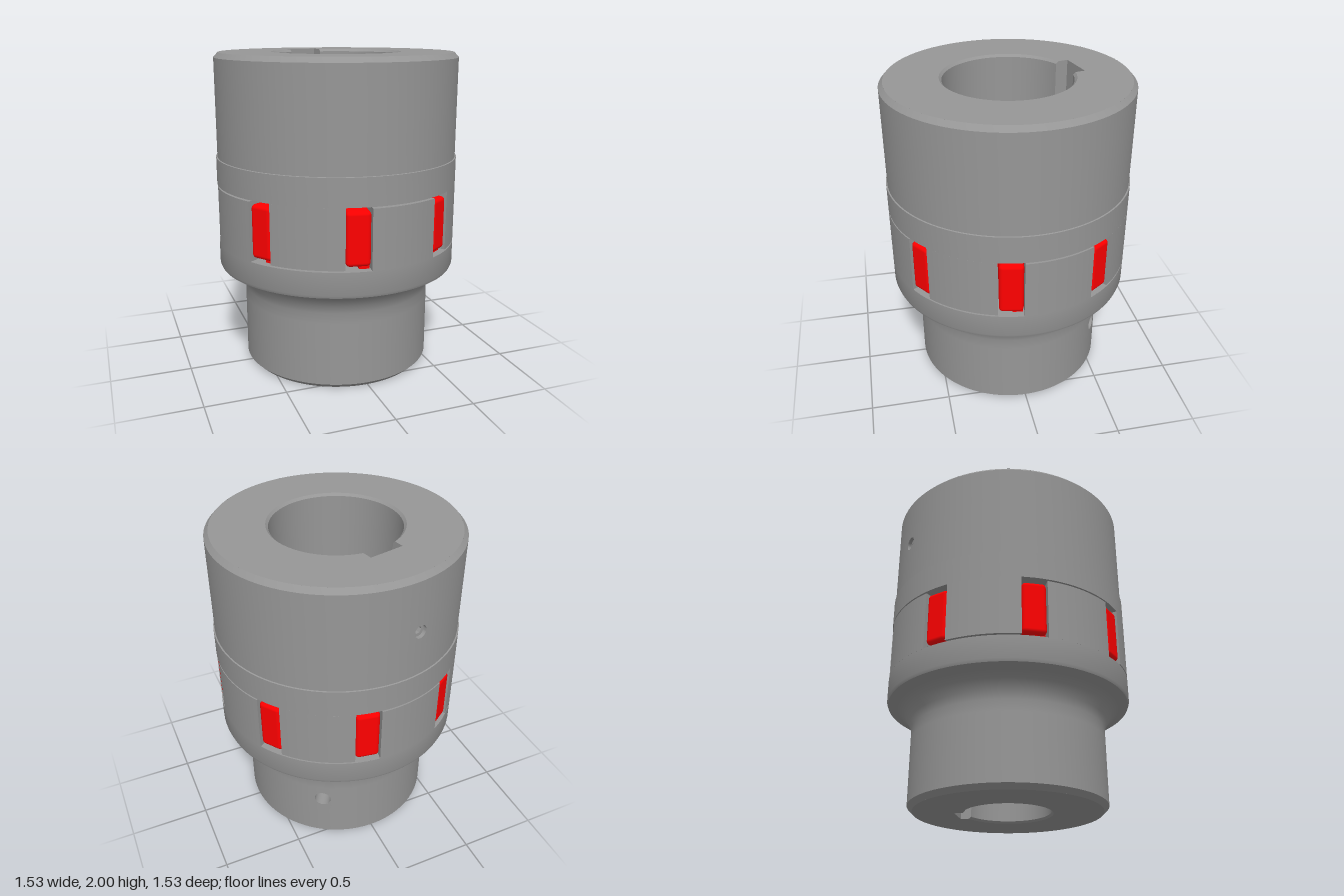
import * as THREE from 'three';
import { mergeGeometries, toCreasedNormals } from 'three/addons/utils/BufferGeometryUtils.js';
import { ParametricGeometry } from 'three/addons/geometries/ParametricGeometry.js';
import { RoundedBoxGeometry } from 'three/addons/geometries/RoundedBoxGeometry.js';

const steel = new THREE.MeshStandardMaterial({ color: 0x969696, side: THREE.DoubleSide });
const red = new THREE.MeshStandardMaterial({ color: 0xff0000, side: THREE.DoubleSide });
const deg = Math.PI / 180, TAU = Math.PI * 2;
const JAW_R = 0.765, JAW_IN = 0.47, LOW = 0.815, HIGH = 1.19;

function mesh(name, geometry, material = steel) {
  const m = new THREE.Mesh(geometry, material);
  m.name = name;
  return m;
}

const surf = (nu, nv, fn) => new ParametricGeometry((u, v, p) => p.set(...fn(u, v)), nu, nv);

// merge pieces into one surface, smooth except at sharp edges
function weld(parts) {
  const clean = parts.map(g => {
    const c = g.index ? g.toNonIndexed() : g;
    c.deleteAttribute('uv');
    return c;
  });
  return toCreasedNormals(mergeGeometries(clean), 0.45);
}

const lathe = (pts, segments = 96, start = 0, length = TAU) =>
  new THREE.LatheGeometry(pts.map(p => new THREE.Vector2(...p)), segments, start, length);

// rectangle [x0,x1] x [y0,y1] with a round hole at the origin, laid on a surface by map(x, y)
function holedPatch(x0, x1, y0, y1, r, map) {
  const corners = [[x1, y0], [x1, y1], [x0, y1], [x0, y0], [x1, y0]];
  return surf(40, 4, (u, v) => {
    const side = Math.min(3, Math.floor(u * 4 + 1e-6)), t = u * 4 - side;
    const [ax, ay] = corners[side], [bx, by] = corners[side + 1];
    const a = (u * 4 - 0.5) * Math.PI / 2;
    const x = ax + (bx - ax) * t, y = ay + (by - ay) * t;
    return map(x + (r * Math.cos(a) - x) * v, y + (r * Math.sin(a) - y) * v);
  });
}

// flat annular end face with the bore and keyway cut out
function endFace(outer, y, bore, { keyHalf, keyDepth }) {
  const shape = new THREE.Shape().absarc(0, 0, outer, 0, TAU);
  const hole = [new THREE.Vector2(-keyHalf, keyDepth), new THREE.Vector2(keyHalf, keyDepth)];
  const a = Math.asin(keyHalf / bore);
  for (let i = 0; i <= 96; i++) {
    const t = a + (TAU - 2 * a) * i / 96;
    hole.push(new THREE.Vector2(bore * Math.sin(t), bore * Math.cos(t)));
  }
  shape.holes.push(new THREE.Path(hole));
  return new THREE.ShapeGeometry(shape, 48).rotateX(Math.PI / 2).translate(0, y, 0);
}

// jaw block whose flanks run parallel to the neighbouring spider teeth
function jawGeometry(y0, y1) {
  const half = r => 22.5 * deg - Math.asin(0.077 / r);
  const shape = new THREE.Shape();
  shape.absarc(0, 0, JAW_R, -half(JAW_R), half(JAW_R), false);
  shape.absarc(0, 0, JAW_IN, half(JAW_IN), -half(JAW_IN), true);
  const g = new THREE.ExtrudeGeometry(shape, { depth: y1 - y0, bevelEnabled: false, curveSegments: 16 });
  return toCreasedNormals(g.rotateX(-Math.PI / 2).translate(0, y0, 0), 0.45);
}

// hub with its keyway facing local +z; below and above are the profile on either side of the screw hole
function makeHub(name, o) {
  const g = new THREE.Group();
  g.name = name;
  const { below, above, boreProfile, keyHalf, keyDepth, holeY, holeR } = o;
  const [R, b0] = below[below.length - 1], b1 = above[0][1];
  const y0 = below[0][1], y1 = above[above.length - 1][1];
  const px = 0.1, gap = px / R, rest = TAU - 2 * gap;
  const skin = (x, y) => [R * Math.sin(x / R), y + holeY, R * Math.cos(x / R)];
  const keyFloor = (x, y) => [x, y + holeY, keyDepth];

  const shell = [
    lathe([[R, b0], [R, b1]], 96, gap, rest),
    holedPatch(-px, px, b0 - holeY, b1 - holeY, holeR, skin),
  ];
  for (const pts of [below, above]) {
    shell.push(lathe(pts, 96, gap, rest), lathe(pts, 10, -gap, 2 * gap));
  }
  g.add(mesh('hubShell', weld(shell)));
  g.add(mesh('screwHole', weld([surf(32, 1, (u, v) => {
    const x = holeR * Math.cos(u * TAU), y = holeR * Math.sin(u * TAU);
    return v < 0.5 ? skin(x, y) : keyFloor(x, y);
  })])));

  // bore with a chamfered mouth, open along the keyway
  const rows = boreProfile.length - 1;
  g.add(mesh('bore', weld([surf(96, rows, (u, v) => {
    const [r, y] = boreProfile[Math.round(v * rows)];
    const a = Math.asin(keyHalf / r), t = a + (TAU - 2 * a) * u;
    return [r * Math.sin(t), y, r * Math.cos(t)];
  })])));
  const keyway = [holedPatch(-keyHalf, keyHalf, y0 - holeY, y1 - holeY, holeR, keyFloor)];
  for (const s of [-1, 1]) {
    keyway.push(surf(1, rows, (u, v) => {
      const [r, y] = boreProfile[Math.round(v * rows)];
      const edge = Math.sqrt(r * r - keyHalf * keyHalf);
      return [s * keyHalf, y, edge + (keyDepth - edge) * u];
    }));
  }
  g.add(mesh('keyway', weld(keyway)));
  g.add(mesh('lowerFace', endFace(below[0][0], y0, boreProfile[0][0], o)));
  g.add(mesh('upperFace', endFace(above[above.length - 1][0], y1, boreProfile[rows][0], o)));

  const jaw = jawGeometry(...o.jaw);
  for (let i = 0; i < 4; i++) {
    const m = mesh('jaw', jaw);
    m.rotation.y = (45 + 90 * i) * deg;
    g.add(m);
  }
  g.rotation.y = o.angle * deg;
  return g;
}

// set screw with a hexagon socket, pointing along local z
function makeSetScrew(y, r) {
  const g = new THREE.Group();
  g.name = 'setScrew';
  const ring = new THREE.Shape().absarc(0, 0, r, 0, TAU);
  const hex = Array.from({ length: 6 }, (_, i) =>
    new THREE.Vector2(Math.cos(i * 60 * deg), Math.sin(i * 60 * deg)).multiplyScalar(r * 0.58));
  ring.holes.push(new THREE.Path(hex));
  const head = new THREE.ExtrudeGeometry(ring, { depth: 0.05, bevelEnabled: false, curveSegments: 16 });
  const body = new THREE.CylinderGeometry(r, r, 0.16, 24).rotateX(Math.PI / 2);
  g.add(mesh('screwHead', head.translate(0, y, 0.685)));
  g.add(mesh('screwBody', body.translate(0, y, 0.605)));
  return g;
}

// elastic star: thin ring with eight cushions and small spacer nubs
function makeSpider() {
  const g = new THREE.Group();
  g.name = 'spider';
  const ring = lathe([[0.375, 0.84], [0.43, 0.84], [0.43, 1.165], [0.375, 1.165], [0.375, 0.84]]);
  g.add(mesh('spiderRing', toCreasedNormals(ring, 0.45), red));
  const tooth = new RoundedBoxGeometry(0.144, 0.325, 0.345, 4, 0.025).translate(0, 1.0025, 0.585);
  const nub = new THREE.BoxGeometry(0.06, 0.04, 0.1);
  for (let i = 0; i < 8; i++) {
    const arm = new THREE.Group();
    arm.name = 'spiderArm';
    const low = mesh('lowerNub', nub, red), high = mesh('upperNub', nub, red);
    low.position.set(0.038, LOW + 0.022, 0.67);
    high.position.set(-0.02, HIGH - 0.022, 0.48);
    arm.add(mesh('spiderTooth', tooth, red), low, high);
    arm.rotation.y = (-10 + 45 * i) * deg;
    g.add(arm);
  }
  return g;
}

export function createModel() {
  const model = new THREE.Group();
  model.name = 'jawCoupling';

  const upper = makeHub('upperHub', {
    below: [[JAW_R, HIGH], [JAW_R, 1.36], [0.757, 1.362], [0.757, 1.55]],
    above: [[0.757, 1.75], [0.757, 1.97], [0.73, 2]],
    boreProfile: [[0.39, HIGH], [0.39, 1.985], [0.405, 2]],
    keyHalf: 0.11, keyDepth: 0.453, holeY: 1.65, holeR: 0.042,
    jaw: [0.825, HIGH], angle: 192.5,
  });
  upper.add(makeSetScrew(1.65, 0.041));

  const lower = makeHub('lowerHub', {
    below: [[0.575, 0], [0.605, 0.03], [0.605, 0.23]],
    above: [[0.605, 0.43], [0.605, 0.5], [0.62, 0.55], [0.655, 0.605], [0.7, 0.638],
      [0.74, 0.648], [0.758, 0.657], [JAW_R, 0.675], [JAW_R, LOW]],
    boreProfile: [[0.272, 0], [0.26, 0.012], [0.26, LOW]],
    keyHalf: 0.08, keyDepth: 0.312, holeY: 0.33, holeR: 0.052,
    jaw: [LOW, 1.18], angle: 147.5,
  });
  // sloped pads on the floor inside the spider ring
  for (let i = 0; i < 4; i++) {
    lower.add(mesh('floorPad', toCreasedNormals(
      lathe([[0.4, LOW + 0.02], [0.345, LOW + 0.02], [0.3, LOW]], 8, (31 + 90 * i) * deg, 28 * deg), 0.3)));
  }

  model.add(upper, lower, makeSpider());
  return model;
}
